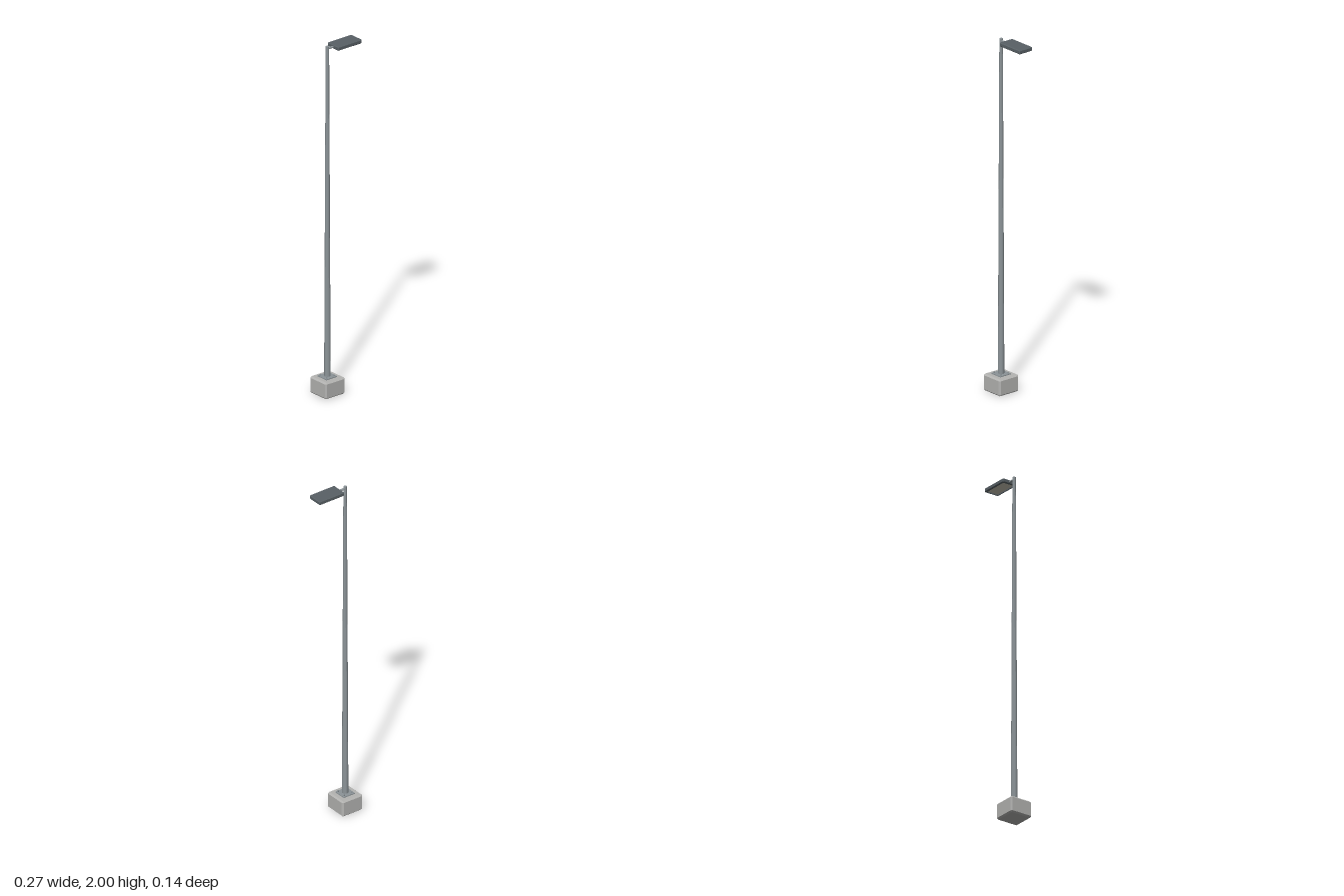
import * as THREE from 'three';

const mat = (color) => new THREE.MeshStandardMaterial({ color, flatShading: true });
const concrete = mat(0xb4b4b2), steel = mat(0x8c9498), dark = mat(0x596166), lensMat = mat(0xc8c4b4);
const POLE_X = -0.069;

// Lofts chamfered rectangles listed from top to bottom: [halfX, halfZ, cornerCut, y]
function loft(rings) {
  const pos = [], idx = [];
  for (const [a, b, c, y] of rings) {
    const pts = [[a, -b + c], [a, b - c], [a - c, b], [-a + c, b], [-a, b - c], [-a, -b + c], [-a + c, -b], [a - c, -b]];
    for (const [x, z] of pts) pos.push(x, y, z);
  }
  for (let r = 0; r < rings.length - 1; r++) {
    for (let i = 0; i < 8; i++) {
      const u = r * 8 + i, v = r * 8 + (i + 1) % 8;
      idx.push(u, v, u + 8, v, v + 8, u + 8);
    }
  }
  const g = new THREE.BufferGeometry();
  g.setAttribute('position', new THREE.Float32BufferAttribute(pos, 3));
  g.setIndex(idx);
  const flat = g.toNonIndexed();
  flat.computeVertexNormals();
  return flat;
}

// Box with chamfered edges, standing on y0
function chamferBox(a, b, y0, y1, c) {
  return loft([
    [0, 0, 0, y1], [a - c, b - c, 0, y1], [a, b, c, y1 - c],
    [a, b, c, y0 + c], [a - c, b - c, 0, y0], [0, 0, 0, y0],
  ]);
}

export function createModel() {
  const model = new THREE.Group();
  model.name = 'streetLight';
  const add = (name, geometry, material, x = 0, y = 0, z = 0) => {
    const mesh = new THREE.Mesh(geometry, material);
    mesh.name = name;
    mesh.position.set(x, y, z);
    model.add(mesh);
    return mesh;
  };

  // Concrete footing and steel base plate
  add('footing', chamferBox(0.068, 0.068, 0, 0.095, 0.008), concrete, POLE_X);
  add('basePlate', chamferBox(0.037, 0.037, 0.094, 0.101, 0.001), steel, POLE_X);

  // Anchor bolts at the plate corners
  for (const sx of [-1, 1]) {
    for (const sz of [-1, 1]) {
      add('anchorBolt', new THREE.CylinderGeometry(0.004, 0.004, 0.008, 6), steel,
        POLE_X + sx * 0.026, 0.104, sz * 0.026);
    }
  }

  // Tapered pole
  add('pole', new THREE.CylinderGeometry(0.0095, 0.0175, 1.9, 16), steel, POLE_X, 1.05, 0);

  // Short arm from pole to lamp head
  const arm = add('arm', new THREE.CylinderGeometry(0.006, 0.006, 0.045, 12), steel, -0.047, 1.987, 0);
  arm.rotation.z = Math.PI / 2;

  // Lamp housing, hollow underneath
  const a = 0.083, b = 0.045, c = 0.004;
  add('lampHousing', loft([
    [0, 0, 0, 1.999], [a - c, b - c, 0, 1.999], [a, b, c, 1.995],
    [a, b, c, 1.98], [a - c, b - c, 0, 1.976],
    [a - 0.009, b - 0.009, 0, 1.976], [a - 0.009, b - 0.009, 0, 1.984], [0, 0, 0, 1.984],
  ]), dark, 0.052);

  // Light panel inside the recess
  add('lens', new THREE.BoxGeometry(0.146, 0.003, 0.07), lensMat, 0.052, 1.983, 0);

  return model;
}
